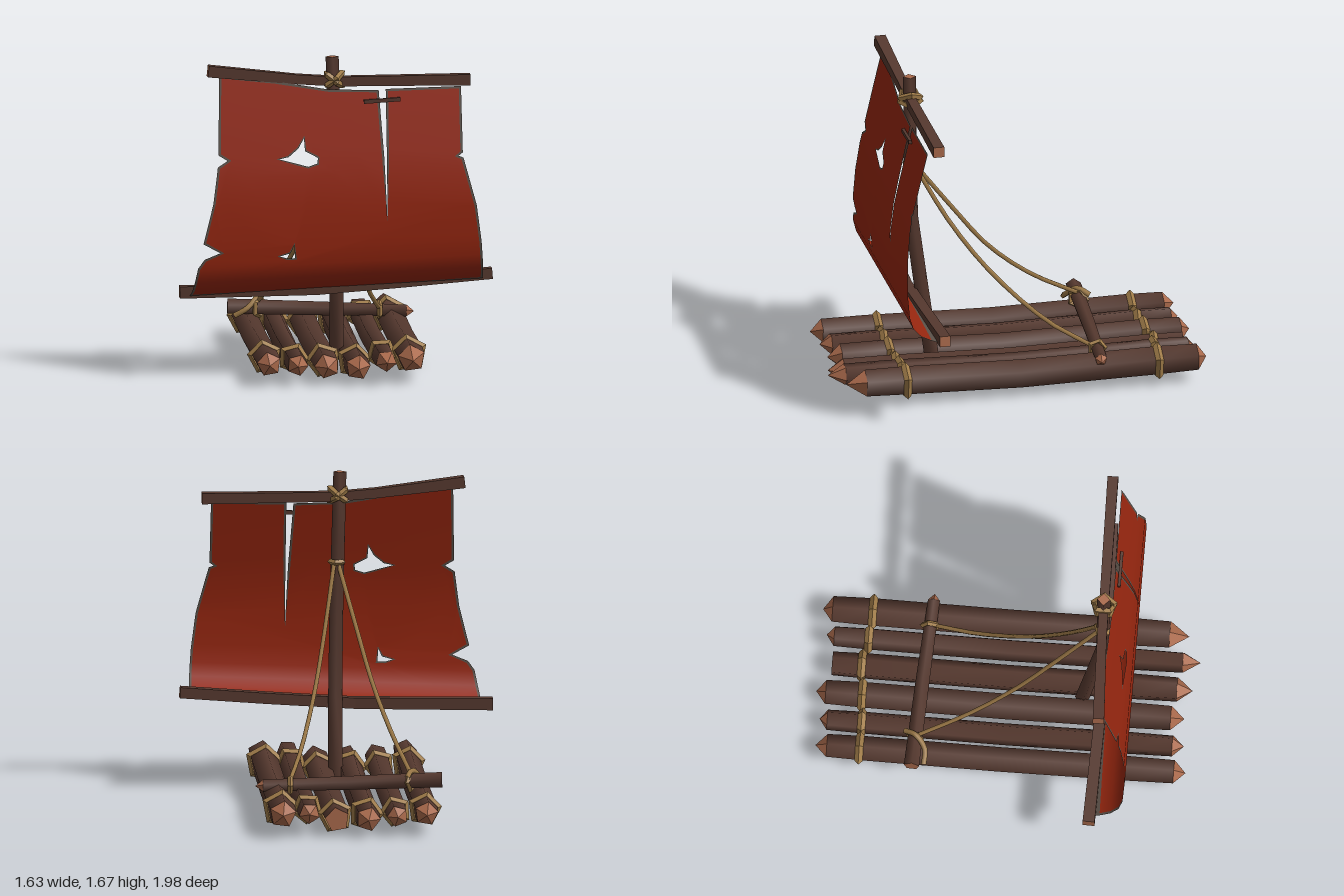
import * as THREE from 'three';
import { toCreasedNormals } from 'three/addons/utils/BufferGeometryUtils.js';

const V = (x, y, z) => new THREE.Vector3(x, y, z);
const paint = (name, color, side = THREE.FrontSide) => {
  const m = new THREE.MeshStandardMaterial({ color, side });
  m.name = name;
  return m;
};
const bark = paint('bark', 0x56392f);
const cutWood = paint('cutWood', 0xaa6a4c);
const rope = paint('rope', 0xa07c49);
const sailRed = paint('sailRed', 0x96260f, THREE.DoubleSide);
const hemGrey = paint('hemGrey', 0x5a5048, THREE.DoubleSide);

function add(parent, name, geo, mat) {
  const mesh = new THREE.Mesh(geo, mat);
  mesh.name = name;
  parent.add(mesh);
  return mesh;
}

function faceted(geo) {
  const g = geo.index ? geo.toNonIndexed() : geo;
  g.computeVertexNormals();
  return g;
}

// Skin between consecutive rings of points
function skin(rings, smooth) {
  const n = rings[0].length, index = [];
  for (let i = 0; i < rings.length - 1; i++) {
    for (let j = 0; j < n; j++) {
      const k = (j + 1) % n, a = i * n + j, b = i * n + k;
      index.push(a, b, a + n, b, b + n, a + n);
    }
  }
  const geo = new THREE.BufferGeometry().setFromPoints(rings.flat());
  geo.setIndex(index);
  if (!smooth) return faceted(geo);
  geo.computeVertexNormals();
  return geo;
}

// Bark-covered pole along a path, with bare wood ends of given lengths
function pole(parent, name, pts, radii, sides, phase, tips = [0, 0], smooth = true) {
  const last = pts.length - 1;
  const tangent = i => pts[Math.min(i + 1, last)].clone().sub(pts[Math.max(i - 1, 0)]).normalize();
  const rings = pts.map((p, i) => {
    const t = tangent(i);
    const u = (Math.abs(t.y) > 0.7 ? V(0, 0, 1) : V(0, 1, 0)).cross(t).normalize();
    const w = t.clone().cross(u);
    return Array.from({ length: sides }, (_, j) => {
      const a = phase + j / sides * Math.PI * 2;
      return p.clone().addScaledVector(u, radii[i] * Math.cos(a)).addScaledVector(w, radii[i] * Math.sin(a));
    });
  });
  const point = (i, d) => Array(sides).fill(pts[i].clone().addScaledVector(tangent(i), d));
  const group = new THREE.Group();
  group.name = name;
  parent.add(group);
  add(group, name + 'Bark', skin(rings, smooth), bark);
  add(group, name + 'StartCut', skin([point(0, -tips[0]), rings[0]]), cutWood);
  add(group, name + 'EndCut', skin([rings[last], point(last, tips[1])]), cutWood);
}

function ring(parent, name, pos, rot, radius, thick, sides = 5) {
  const mesh = add(parent, name, faceted(new THREE.TorusGeometry(radius, thick, 4, sides)), rope);
  mesh.position.copy(pos);
  mesh.rotation.set(...rot);
  return mesh;
}

function cord(parent, name, pts, radius) {
  const curve = new THREE.CatmullRomCurve3(pts);
  return add(parent, name, new THREE.TubeGeometry(curve, 12, radius, 5), rope);
}

// Depth of the billowing sail at each height
const BILLOW = [[0.465, 0.51], [0.48, 0.55], [0.505, 0.6], [0.55, 0.64], [0.62, 0.66], [0.72, 0.667],
  [0.93, 0.662], [1.08, 0.643], [1.2, 0.618], [1.4, 0.573], [1.65, 0.515]];
function billow(v) {
  let i = 0;
  while (i < BILLOW.length - 2 && v > BILLOW[i + 1][0]) i++;
  const [a, b] = [BILLOW[i], BILLOW[i + 1]];
  return a[1] + (b[1] - a[1]) * (v - a[0]) / (b[0] - a[0]);
}

// Part of a convex polygon on one side of a height
function clip(poly, h, sign) {
  const out = [];
  poly.forEach((p, i) => {
    const q = poly[(i + 1) % poly.length], dp = (p.y - h) * sign, dq = (q.y - h) * sign;
    if (dp >= 0) out.push(p);
    if (dp * dq < 0) out.push(p.clone().lerp(q, dp / (dp - dq)));
  });
  return out;
}

// Cut flat triangles into bands, then bend them to the billow
function bend(triangles) {
  const pts = [];
  const levels = [-1, ...BILLOW.slice(1, -1).map(b => b[0]), 3];
  for (const tri of triangles) {
    for (let i = 0; i < levels.length - 1; i++) {
      const poly = clip(clip(tri, levels[i], 1), levels[i + 1], -1);
      for (let k = 1; k < poly.length - 1; k++) {
        for (const p of [poly[0], poly[k], poly[k + 1]]) {
          pts.push(V(p.x, p.y + 0.05 * p.x * (1.47 - p.y), billow(p.y)));
        }
      }
    }
  }
  return toCreasedNormals(new THREE.BufferGeometry().setFromPoints(pts), 0.9);
}

// Narrow border outside a counter-clockwise contour (negative width: inside)
function border(c, width) {
  const n = c.length;
  const normal = (a, b) => new THREE.Vector2(b.y - a.y, a.x - b.x).normalize();
  const outer = c.map((p, i) => {
    const n1 = normal(c[(i + n - 1) % n], p), n2 = normal(p, c[(i + 1) % n]);
    const m = n1.clone().add(n2).normalize();
    return p.clone().addScaledVector(m, width / Math.max(0.6, m.dot(n1)));
  });
  return c.flatMap((p, i) => {
    const k = (i + 1) % n;
    return [[p, outer[i], outer[k]], [p, outer[k], c[k]]];
  });
}

function buildSail(parent) {
  const contour = list => list.map(([x, y]) => new THREE.Vector2(x, (y - 0.0735 * x) / (1 - 0.05 * x)));
  const outline = contour([[-0.75, 0.44], [0, 0.472], [0.75, 0.515], [0.735, 0.72], [0.71, 0.91], [0.645, 1.15],
    [0.61, 1.165], [0.64, 1.19], [0.637, 1.51], [0.268, 1.5], [0.268, 1.2], [0.256, 0.82], [0.23, 1.17],
    [0.208, 1.495], [-0.04, 1.5], [-0.32, 1.545], [-0.6, 1.575], [-0.61, 1.19], [-0.555, 1.155],
    [-0.615, 1.115], [-0.64, 0.93], [-0.69, 0.73], [-0.595, 0.675], [-0.69, 0.632], [-0.72, 0.59]]);
  const holes = [
    contour([[-0.32, 1.16], [-0.215, 1.128], [-0.155, 1.112], [-0.1, 1.13], [-0.095, 1.17], [-0.163, 1.205],
      [-0.172, 1.28], [-0.21, 1.22], [-0.26, 1.178]]),
    contour([[-0.32, 0.655], [-0.265, 0.635], [-0.216, 0.637], [-0.228, 0.725], [-0.255, 0.677]])];
  const all = [...outline, ...holes.flat()];
  const tris = THREE.ShapeUtils.triangulateShape(outline, holes).map(f => f.map(i => all[i]));
  add(parent, 'sailCloth', bend(tris), sailRed);
  const hems = [...border(outline, 0.012), ...holes.flatMap(h => border(h, -0.008))];
  add(parent, 'sailHem', bend(hems), hemGrey);
}

export function createModel() {
  const raft = new THREE.Group();
  raft.name = 'raft';

  // Deck logs: x, y, radius, back end, back tip, front end, front tip, turn
  const logs = [
    [-0.38, 0.12, 0.068, -0.91, 0.06, 0.9, 0.06, 1.75], [-0.23, 0.11, 0.06, -0.92, 0.04, 0.88, 0.06, 1.2],
    [-0.075, 0.1, 0.07, -0.94, 0.05, 0.86, 0.07, 1.9], [0.085, 0.095, 0.07, -0.92, 0, 0.88, 0.08, 1.4],
    [0.23, 0.13, 0.06, -0.92, 0.04, 0.9, 0.09, 1.0], [0.37, 0.13, 0.077, -0.94, 0.05, 0.82, 0.1, 1.7]];
  const lashZ = [-0.74, -0.74, -0.75, -0.765, -0.74, -0.73];
  logs.forEach(([x, y, r, z0, t0, z1, t1, turn], i) => {
    const pts = [V(x, y + 0.005, z0), V(x, y + 0.003, z0 * 0.78), V(x, y - 0.01, 0), V(x, y + 0.003, z1 * 0.75), V(x, y + 0.005, z1)];
    pole(raft, 'log', pts, [r * 0.93, r, r, r, r * 0.95], 5, turn, [t0, t1]);
    for (const z of [lashZ[i], 0.605]) ring(raft, 'logLashing', V(x, y, z), [0, 0, turn], r + 0.004, 0.021);
  });

  // Mast and yards
  pole(raft, 'mast', [V(0.01, 0.08, 0.39), V(0.008, 0.5, 0.448), V(0, 0.9, 0.5), V(-0.01, 1.3, 0.503), V(-0.02, 1.68, 0.505)],
    [0.038, 0.037, 0.036, 0.035, 0.034], 4, 0);
  pole(raft, 'upperYard', [V(-0.67, 1.615, 0.53), V(-0.21, 1.565, 0.51), V(0, 1.55, 0.505), V(0.7, 1.55, 0.495)],
    [0.042, 0.035, 0.035, 0.04], 4, Math.PI / 4, [0, 0], false);
  pole(raft, 'lowerYard', [V(-0.815, 0.448, 0.49), V(-0.1, 0.458, 0.505), V(0.35, 0.49, 0.495), V(0.815, 0.528, 0.485)],
    [0.044, 0.04, 0.04, 0.04], 4, Math.PI / 4, [0, 0], false);
  for (const s of [-1, 1]) ring(raft, 'yardLashing', V(-0.012, 1.56, 0.505), [Math.PI / 2, s * 0.65, 0], 0.057, 0.017);
  ring(raft, 'stayCollar', V(-0.005, 1.205, 0.5), [Math.PI / 2, 0, 0], 0.036, 0.015);

  // Torn sail and the pin holding its tear
  buildSail(raft);
  const pin = add(raft, 'tearPin', new THREE.BoxGeometry(0.19, 0.02, 0.016), bark);
  pin.position.set(0.235, 1.455, 0.572);
  pin.rotation.z = 0.06;

  // Cross beam with its lashings
  pole(raft, 'crossBeam', [V(-0.49, 0.22, -0.46), V(0, 0.205, -0.44), V(0.44, 0.192, -0.418)],
    [0.042, 0.038, 0.033], 5, Math.PI / 2, [0, 0.04]);
  ring(raft, 'beamLashing', V(0.3, 0.2, -0.425), [0, Math.PI / 2, 0], 0.042, 0.014);
  ring(raft, 'beamLashing', V(-0.33, 0.215, -0.452), [0, Math.PI / 2 - 0.5, 0], 0.05, 0.014);
  cord(raft, 'lashingTail', [V(-0.46, 0.18, -0.4), V(-0.39, 0.22, -0.4), V(-0.335, 0.27, -0.45), V(-0.305, 0.24, -0.51)], 0.015);

  // Sagging stays from mast to beam
  cord(raft, 'rightStay', [V(-0.01, 1.2, 0.49), V(-0.09, 0.9, 0.27), V(-0.165, 0.63, 0.06), V(-0.25, 0.41, -0.19), V(-0.33, 0.25, -0.45)], 0.012);
  cord(raft, 'leftStay', [V(0.01, 1.2, 0.49), V(0.07, 0.88, 0.31), V(0.135, 0.6, 0.1), V(0.225, 0.34, -0.18), V(0.3, 0.21, -0.41)], 0.012);

  return raft;
}
